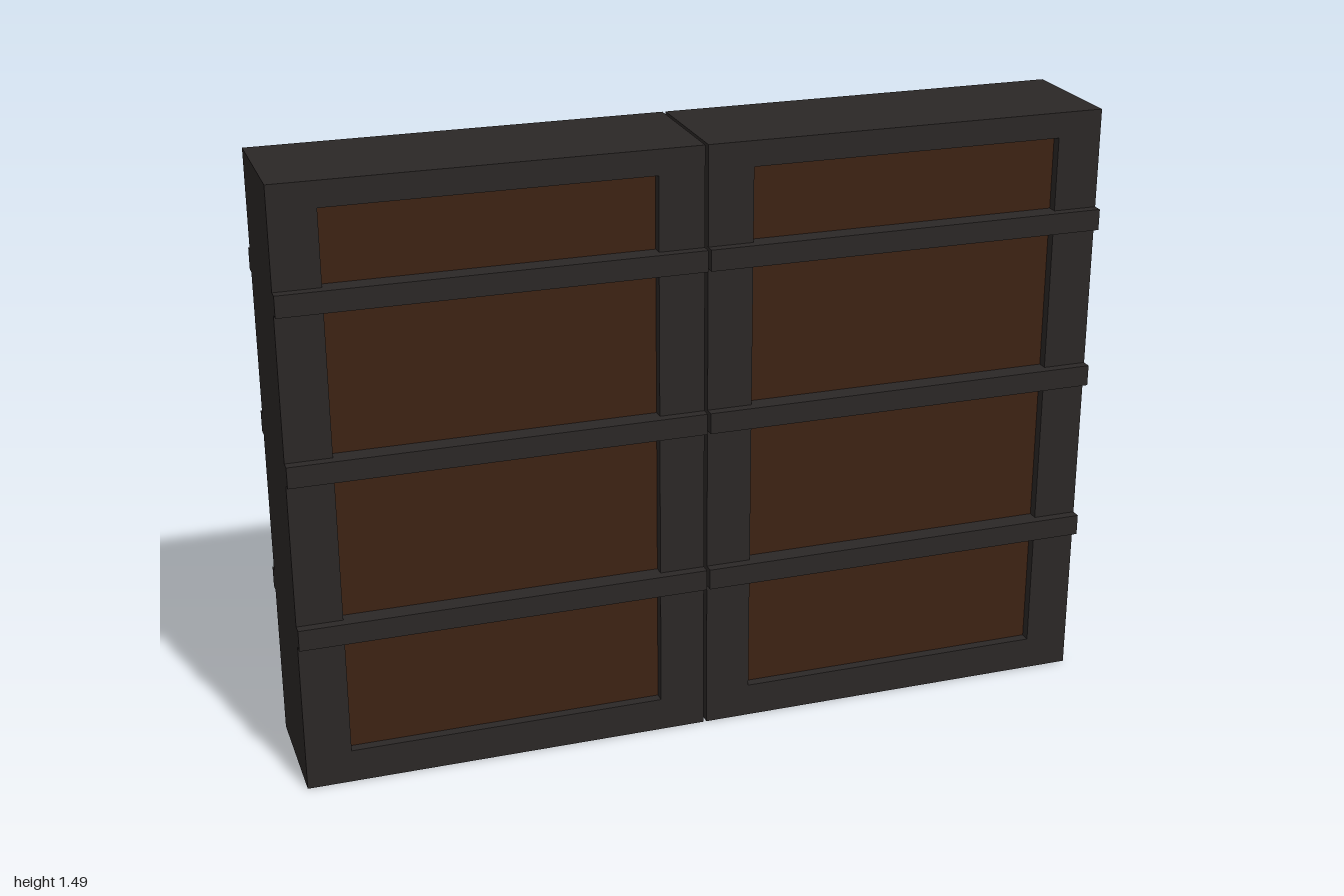
import * as THREE from 'three';

const HEIGHT = 1.49, HALF_DEPTH = 0.156;
const INNER = 0.004, OUTER = 1; // leaf edges in x, leaving a thin centre gap
const OPENING = { x0: 0.115, x1: 0.89, y0: 0.083, y1: 1.428 };
const PANEL_Z = 0.131, BAR_Z = 0.18;

const iron = new THREE.MeshStandardMaterial({ color: 0x2b2726 });
const wood = new THREE.MeshStandardMaterial({ color: 0x3d2213 });

function box(name, material, [x0, x1], [y0, y1], [z0, z1]) {
  const mesh = new THREE.Mesh(new THREE.BoxGeometry(x1 - x0, y1 - y0, z1 - z0), material);
  mesh.position.set((x0 + x1) / 2, (y0 + y1) / 2, (z0 + z1) / 2);
  mesh.name = name;
  return mesh;
}

function rectangle(PathType, x0, x1, y0, y1) {
  return new PathType([[x0, y0], [x1, y0], [x1, y1], [x0, y1]].map(([x, y]) => new THREE.Vector2(x, y)));
}

// One door leaf on the +x side
function createLeaf(name) {
  const leaf = new THREE.Group();
  leaf.name = name;
  const { x0, x1, y0, y1 } = OPENING;

  // Frame with a rectangular opening
  const outline = rectangle(THREE.Shape, INNER, OUTER, 0, HEIGHT);
  outline.holes.push(rectangle(THREE.Path, x0, x1, y0, y1));
  const geometry = new THREE.ExtrudeGeometry(outline, { depth: HALF_DEPTH * 2, bevelEnabled: false });
  geometry.translate(0, 0, -HALF_DEPTH);
  const frame = new THREE.Mesh(geometry, iron);
  frame.name = 'doorFrame';
  leaf.add(frame);

  // Wooden panel, recessed on both faces
  leaf.add(box('woodPanel', wood, [x0, x1], [y0, y1], [-PANEL_Z, PANEL_Z]));

  // Three horizontal straps on each face
  for (const y of [0.406, 0.816, 1.221]) {
    const span = [y - 0.026, y + 0.026];
    leaf.add(box('frontStrap', iron, [INNER, OUTER], span, [PANEL_Z, BAR_Z]));
    leaf.add(box('backStrap', iron, [INNER, OUTER], span, [-BAR_Z, -PANEL_Z]));
  }
  return leaf;
}

export function createModel() {
  const door = new THREE.Group();
  door.name = 'doubleDoor';
  const left = createLeaf('leftLeaf');
  const right = createLeaf('rightLeaf');
  right.rotation.y = Math.PI; // each leaf is the same front and back
  door.add(left, right);
  return door;
}
